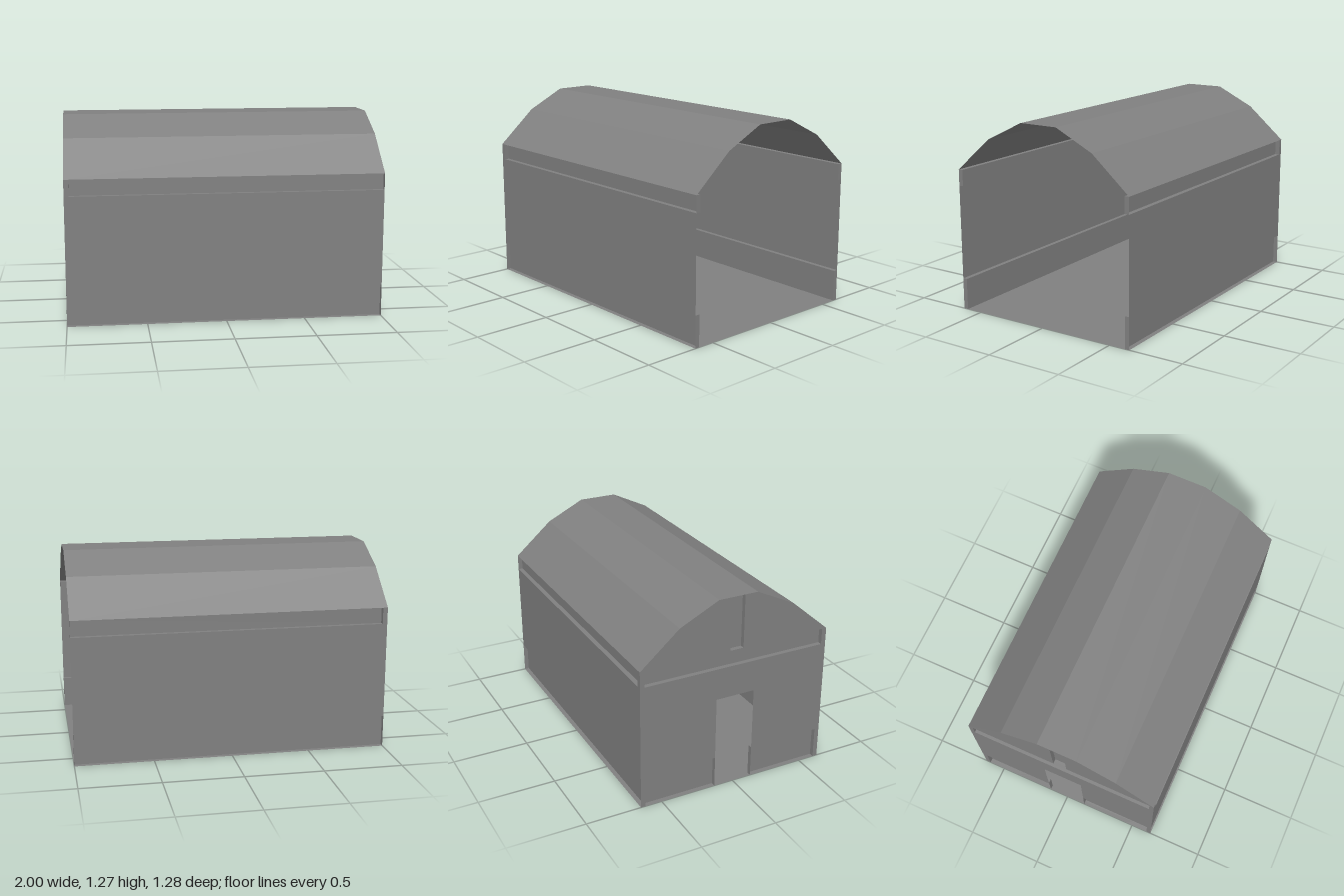
import * as THREE from 'three';

const HALF_L = 1, HALF_W = 0.64, DEPTH = 0.03;
const BASE_TOP = 0.205, WALL_TOP = 0.82, EAVE = 0.925;
const DOOR_W = 0.13, DOOR_H = 0.615, RIDGE_W = 0.13, RIDGE_Y = 1.27, SLOT = 0.045;

export function createModel() {
  const model = new THREE.Group();
  model.name = 'barnShell';
  const grey = new THREE.MeshStandardMaterial({ color: 0x808080, side: THREE.DoubleSide });
  grey.name = 'plainGrey';

  const add = (name, geometry) => {
    const mesh = new THREE.Mesh(geometry, grey);
    mesh.name = name;
    model.add(mesh);
    return mesh;
  };

  // Box missing one face (0 +x, 1 -x, 2 +y, 3 -y, 4 +z, 5 -z): a recess in the wall
  const recess = (name, [x0, x1], [y0, y1], [z0, z1], openFace) => {
    const g = new THREE.BoxGeometry(x1 - x0, y1 - y0, z1 - z0);
    const index = Array.from(g.index.array);
    index.splice(openFace * 6, 6);
    g.setIndex(index);
    g.clearGroups();
    g.translate((x0 + x1) / 2, (y0 + y1) / 2, (z0 + z1) / 2);
    add(name, g);
  };

  // Flat sheet in the end wall plane, outlined by [z, y] points
  const endSheet = (name, points) => {
    const shape = new THREE.Shape(points.map(([z, y]) => new THREE.Vector2(z, y)));
    const g = new THREE.ShapeGeometry(shape);
    g.rotateY(-Math.PI / 2);
    g.translate(-HALF_L, 0, 0);
    add(name, g);
  };

  // Floor
  const floor = new THREE.PlaneGeometry(2 * HALF_L, 2 * HALF_W);
  floor.rotateX(-Math.PI / 2);
  add('floor', floor);

  // Faceted roof sheet
  const profile = [[-HALF_W, EAVE], [-0.385, 1.145], [-RIDGE_W, RIDGE_Y],
    [RIDGE_W, RIDGE_Y], [0.385, 1.145], [HALF_W, EAVE]];
  const sheet = new THREE.PlaneGeometry(2 * HALF_L, 1, 1, profile.length - 1);
  const pos = sheet.attributes.position;
  for (let i = 0; i < pos.count; i++) {
    const [z, y] = profile[Math.floor(i / 2)];
    pos.setXYZ(i, pos.getX(i), y, z);
  }
  const roof = sheet.toNonIndexed();
  roof.computeVertexNormals();
  add('roof', roof);

  // Long side walls with a recessed band at base and eave
  for (const s of [1, -1]) {
    const side = s > 0 ? 'left' : 'right';
    const wall = new THREE.PlaneGeometry(2 * HALF_L, WALL_TOP - BASE_TOP);
    if (s < 0) wall.rotateY(Math.PI);
    wall.translate(0, (WALL_TOP + BASE_TOP) / 2, s * HALF_W);
    add('longWall' + (s > 0 ? 'Front' : 'Back'), wall);
    const zs = s > 0 ? [HALF_W - DEPTH, HALF_W] : [-HALF_W, DEPTH - HALF_W];
    const open = s > 0 ? 4 : 5;
    recess('longWallBaseRecess', [-HALF_L, HALF_L], [0, BASE_TOP], zs, open);
    recess('longWallEaveRecess', [-HALF_L, HALF_L], [WALL_TOP, EAVE], zs, open);
  }

  // End wall with doorway; the opposite end stays open
  const inner = HALF_W - DEPTH;
  endSheet('endWall', [
    [-HALF_W, 0], [-inner, 0], [-inner, BASE_TOP], [-DOOR_W, BASE_TOP],
    [-DOOR_W, DOOR_H], [DOOR_W, DOOR_H], [DOOR_W, BASE_TOP], [inner, BASE_TOP],
    [inner, 0], [HALF_W, 0], [HALF_W, WALL_TOP], [-HALF_W, WALL_TOP],
  ]);
  const xs = [-HALF_L, -HALF_L + DEPTH];
  recess('endWallBaseRecess', xs, [0, BASE_TOP], [DOOR_W, inner], 1);
  recess('endWallBaseRecess', xs, [0, BASE_TOP], [-inner, -DOOR_W], 1);
  recess('endWallEaveRecess', xs, [WALL_TOP, EAVE], [-HALF_W, HALF_W], 1);

  // Gable halves either side of an upright recess
  for (const s of [1, -1]) {
    endSheet('gablePanel', [[SLOT, EAVE], [HALF_W, EAVE], [0.385, 1.145],
      [RIDGE_W, RIDGE_Y], [SLOT, RIDGE_Y]].map(([z, y]) => [s * z, y]));
  }
  recess('gableUprightRecess', xs, [EAVE, RIDGE_Y], [-SLOT, SLOT], 1);

  return model;
}
